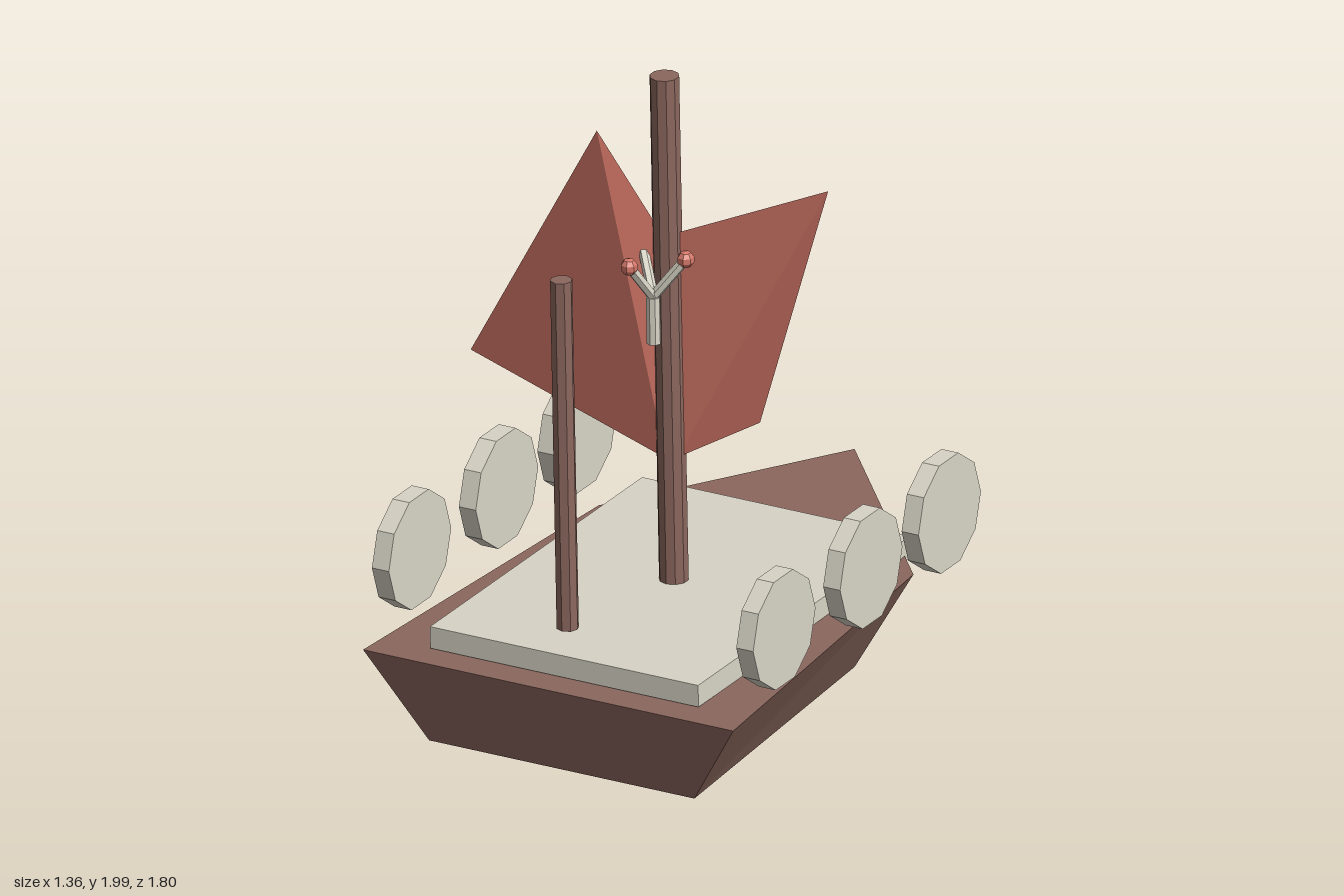
import * as THREE from 'three';

const mat = (name, color, extra = {}) => {
  const m = new THREE.MeshStandardMaterial({ color, flatShading: true, ...extra });
  m.name = name;
  return m;
};

// Geometry from corner points and triangles, with flat faces
function faceted(points, triangles) {
  const g = new THREE.BufferGeometry();
  g.setAttribute('position', new THREE.Float32BufferAttribute(triangles.flat().flatMap(i => points[i]), 3));
  g.computeVertexNormals();
  return g;
}

export function createModel() {
  const brown = mat('brown wood', 0x8b675e);
  const cream = mat('cream', 0xd8d4c6);
  const red = mat('red', 0xd6786a);
  const cloth = mat('red cloth', 0xd6786a, { side: THREE.DoubleSide });

  const model = new THREE.Group();
  model.name = 'sailingBoat';
  // The whole boat heels slightly to one side
  const boat = new THREE.Group();
  boat.name = 'boat';
  boat.position.x = 0.033;
  boat.rotation.z = 0.02;
  model.add(boat);

  const add = (name, geometry, material, x = 0, y = 0, z = 0) => {
    const m = new THREE.Mesh(geometry, material);
    m.name = name;
    m.position.set(x, y, z);
    boat.add(m);
    return m;
  };

  // Round bar between two points
  const bar = (name, a, b, radius, sides, material) => {
    const from = new THREE.Vector3(...a), to = new THREE.Vector3(...b);
    const dir = to.clone().sub(from);
    const m = add(name, new THREE.CylinderGeometry(radius, radius, dir.length(), sides), material);
    m.position.copy(from).add(to).multiplyScalar(0.5);
    m.quaternion.setFromUnitVectors(new THREE.Vector3(0, 1, 0), dir.normalize());
    return m;
  };

  // Hull: five-cornered rim above a smaller five-cornered keel
  const ring = (sternX, sternY, sternZ, midX, midY, midZ, bowY, bowZ) => [
    [sternX, sternY, sternZ], [midX, midY, midZ], [0, bowY, bowZ],
    [-midX, midY, midZ], [-sternX, sternY, sternZ]];
  const hullPoints = [
    ...ring(0.635, 0.298, 0.9, 0.54, 0.311, -0.32, 0.38, -0.9),
    ...ring(0.455, 0.015, 0.83, 0.385, 0.015, -0.23, 0.065, -0.73)];
  const hullFaces = [[1, 2, 3], [1, 3, 4], [1, 4, 0], [6, 8, 7], [6, 9, 8], [6, 5, 9]];
  for (let i = 0; i < 5; i++) {
    const j = (i + 1) % 5;
    hullFaces.push([i + 5, j + 5, j], [i + 5, j, i]);
  }
  add('hull', faceted(hullPoints, hullFaces), brown);

  // Deck slab
  add('deck', new THREE.BoxGeometry(0.92, 0.07, 1.245), cream, 0, 0.337, 0.182);

  // Masts
  bar('mainMast', [0, 0.35, 0.16], [0, 2, 0.16], 0.045, 10, brown);
  bar('smallMast', [0, 0.455, 0.78], [0, 1.58, 0.78], 0.034, 8, brown);

  // Round shields along both sides
  for (const side of [-1, 1]) {
    for (const z of [0.625, 0.115, -0.345]) {
      const shield = add('shield', new THREE.CylinderGeometry(0.183, 0.183, 0.058, 10), cream, side * 0.625, 0.523, z);
      shield.rotation.z = Math.PI / 2;
    }
  }

  // Sails: peak, outer corner, foot and head at the mast
  const sail = (name, corners) => add(name, faceted(corners, [[0, 1, 2], [0, 2, 3]]), cloth);
  sail('rightSail', [[-0.177, 1.824, 0.26], [-0.694, 0.964, 0.145], [-0.018, 0.76, 0.165], [-0.004, 1.47, 0.165]]);
  sail('leftSail', [[0.521, 1.71, 0.1], [0.311, 0.944, 0.167], [0.022, 0.77, 0.16], [0.037, 1.5, 0.16]]);

  // Three-armed bracket with a ball on each arm
  const hub = [0, 1.32, 0.25];
  bar('bracketStem', [0, 1.17, 0.25], hub, 0.022, 8, cream);
  for (const [x, z] of [[-0.079, 0.175], [0.096, 0.218], [-0.024, 0.345]]) {
    bar('bracketArm', hub, [x, 1.448, z], 0.016, 6, cream);
    add('bracketBall', new THREE.SphereGeometry(0.027, 7, 5), red, x, 1.448, z);
  }

  return model;
}
